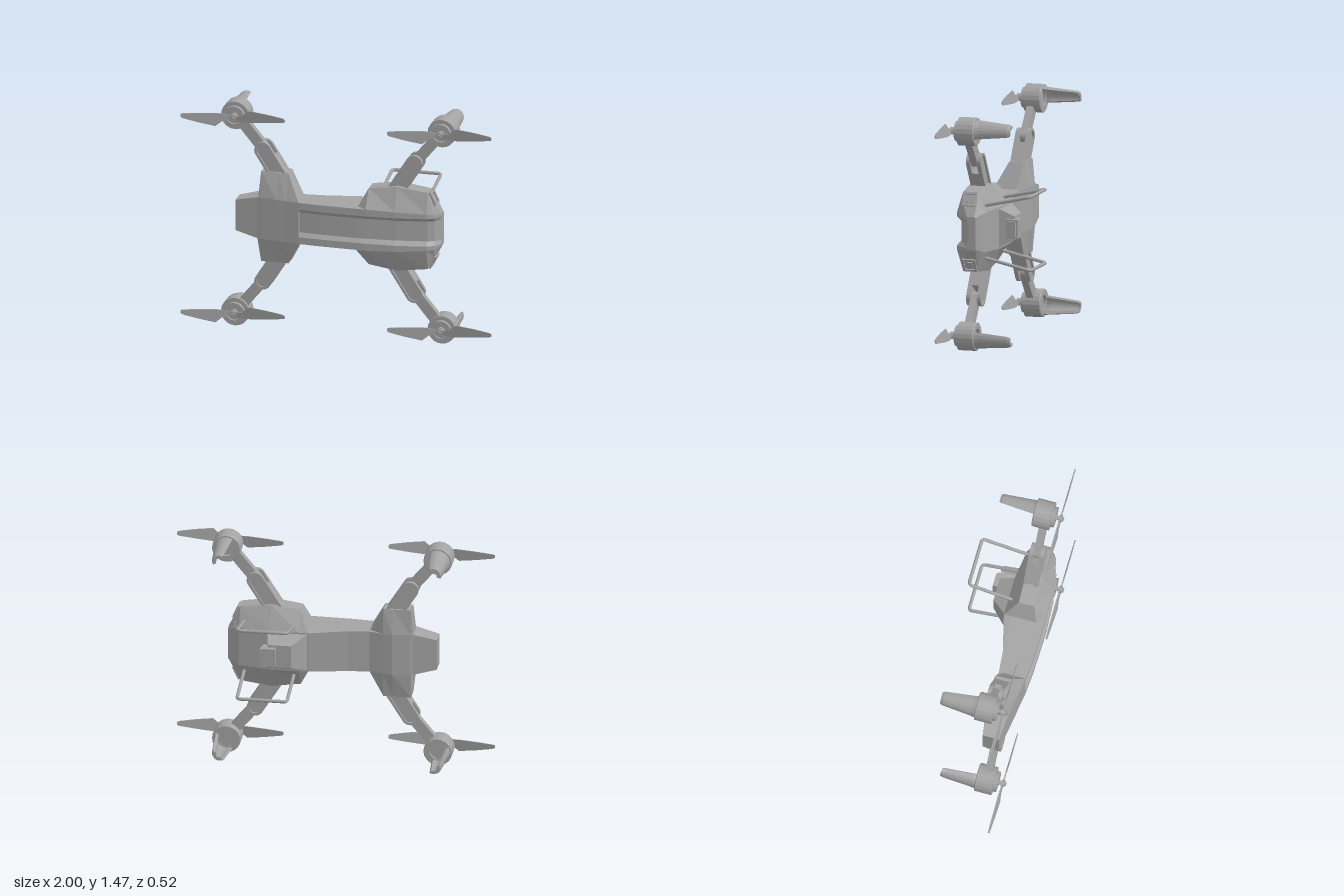
import * as THREE from 'three';

const MID = 0.735; // height of the long axis
const grey = new THREE.MeshStandardMaterial({ color: 0xa3a3a3 });
grey.name = 'grey';

function part(name, geometry, flat = true) {
  let g = geometry;
  if (flat) {
    g = g.index ? g.toNonIndexed() : g;
    g.computeVertexNormals();
  }
  const mesh = new THREE.Mesh(g, grey);
  mesh.name = name;
  return mesh;
}

// Closed skin over rings of [x, y, z]; rings run clockwise seen from the far end
function loft(rings) {
  const pos = [];
  const tri = (...p) => p.forEach((v) => pos.push(...v));
  const centre = (r) => [0, 1, 2].map((k) => r.reduce((s, p) => s + p[k], 0) / r.length);
  const n = rings[0].length;
  const first = rings[0], last = rings[rings.length - 1];
  for (let i = 0; i < n; i++) {
    const j = (i + 1) % n;
    for (let s = 0; s < rings.length - 1; s++) {
      const a = rings[s], b = rings[s + 1];
      tri(a[i], b[i], a[j]);
      tri(b[i], b[j], a[j]);
    }
    tri(centre(first), first[i], first[j]);
    tri(centre(last), last[j], last[i]);
  }
  const g = new THREE.BufferGeometry();
  g.setAttribute('position', new THREE.Float32BufferAttribute(pos, 3));
  return g;
}

const box = (x0, x1, y0, y1, z0, z1) =>
  new THREE.BoxGeometry(x1 - x0, y1 - y0, z1 - z0)
    .translate((x0 + x1) / 2, (y0 + y1) / 2, (z0 + z1) / 2);

// Hull: cross-sections along x with a groove down the front
function hull() {
  // x, half height, side z front/back, front z, front half, back z, back half, groove depth
  const sections = [
    [-0.655, 0.10, 0.17, 0.11, 0.19, 0.10, 0.085, 0.10, 0],
    [-0.51, 0.135, 0.18, 0.09, 0.205, 0.135, 0.065, 0.135, 0],
    [-0.495, 0.295, 0.17, 0.075, 0.208, 0.135, 0.06, 0.135, 0],
    [-0.38, 0.295, 0.17, 0.075, 0.225, 0.135, 0.045, 0.135, 0],
    [-0.32, 0.295, 0.17, 0.075, 0.232, 0.135, 0.055, 0.135, 0],
    [-0.235, 0.135, 0.21, 0.1, 0.245, 0.135, 0.073, 0.135, 0],
    [-0.234, 0.135, 0.21, 0.1, 0.245, 0.135, 0.073, 0.135, 0.022],
    [-0.1, 0.135, 0.22, 0.09, 0.255, 0.135, 0.06, 0.135, 0.022],
    [0.14, 0.135, 0.21, 0.05, 0.26, 0.135, 0, 0.13, 0.022],
    [0.20, 0.25, 0.18, 0.08, 0.26, 0.135, 0, 0.13, 0.025],
    [0.385, 0.275, 0.185, 0.075, 0.25, 0.13, 0, 0.13, 0.03],
    [0.58, 0.25, 0.175, 0.08, 0.215, 0.12, 0.025, 0.125, 0.03],
    [0.62, 0.17, 0.16, 0.075, 0.19, 0.115, 0.045, 0.115, 0.025],
    [0.655, 0.105, 0.125, 0.08, 0.13, 0.1, 0.07, 0.1, 0.015],
  ];
  return loft(sections.map(([x, h, s1, s2, f, hf, b, hb, depth]) => {
    const half = [[f - depth, 0.065], [f, 0.09], [f, hf], [s1, h], [s2, h], [b, hb]];
    const upper = half.map(([z, y]) => [x, MID + y, z]);
    const lower = half.map(([z, y]) => [x, MID - y, z]).reverse();
    return [...upper, ...lower];
  }));
}

// Outline with round ends, from x = 0 to x = length
function capsule(length, r, Type = THREE.Shape) {
  const s = new Type();
  s.absarc(length, 0, r, -Math.PI / 2, Math.PI / 2, false);
  s.absarc(0, 0, r, Math.PI / 2, Math.PI * 1.5, false);
  s.closePath();
  return s;
}

const slab = (shape, z0, z1) =>
  new THREE.ExtrudeGeometry(shape, { depth: z1 - z0, bevelEnabled: false, curveSegments: 10 })
    .translate(0, 0, z0);

// Folding arm: forked inner link and slim outer link
function arm(sx, sy) {
  const group = new THREE.Group();
  group.name = 'arm';
  const link = (name, x0, y0, x1, y1) => {
    const g = new THREE.Group();
    g.name = name;
    g.position.set(sx * x0, MID + sy * y0, 0);
    g.rotation.z = Math.atan2(sy * (y1 - y0), sx * (x1 - x0));
    group.add(g);
    return [g, Math.hypot(x1 - x0, y1 - y0)];
  };
  const [inner, len] = link('innerLink', 0.37, 0.245, 0.487, 0.43);
  const rim = capsule(len, 0.053);
  rim.holes.push(capsule(len, 0.037, THREE.Path));
  inner.add(
    part('forkPlate', slab(capsule(len, 0.053), 0.145, 0.158)),
    part('forkPlate', slab(capsule(len, 0.053), 0.087, 0.1)),
    part('forkRim', slab(rim, 0.158, 0.17)),
    part('forkRim', slab(rim, 0.075, 0.087)),
    part('forkCore', box(0, len - 0.06, -0.052, 0.052, 0.1, 0.145)),
  );
  const [outer, reach] = link('outerLink', 0.487, 0.43, 0.665, 0.645);
  outer.add(part('outerBar', slab(capsule(reach, 0.035), 0.1, 0.145)));
  return group;
}

// Motor pod, centred on its own axis
function motor() {
  const profile = [
    [0, 0.075], [0.05, 0.075], [0.05, 0.055], [0.086, 0.055], [0.09, 0.06], [0.09, 0.167],
    [0.065, 0.167], [0.065, 0.19], [0.05, 0.19], [0.05, 0.176], [0.022, 0.176],
    [0.022, 0.195], [0.013, 0.195], [0.013, 0.24], [0, 0.24],
  ].map(([r, y]) => new THREE.Vector2(r, y));
  return part('motor', new THREE.LatheGeometry(profile, 20).rotateX(Math.PI / 2));
}

// Landing leg: tapered curved shell hanging behind the motor
function leg() {
  const ring = (r, t, shift, z) => {
    const at = (i, rad) => {
      const a = (-75 + 15 * i) * Math.PI / 180;
      return [shift + rad * Math.cos(a), rad * Math.sin(a), z];
    };
    const steps = [...Array(11).keys()];
    return [...steps.map((i) => at(i, r)), ...steps.reverse().map((i) => at(i, r - t))];
  };
  return part('landingLeg', loft([
    ring(0.078, 0.02, 0, 0.06), ring(0.072, 0.02, 0, 0.03),
    ring(0.05, 0.018, 0.01, -0.155), ring(0.042, 0.018, 0.012, -0.172),
  ]));
}

// Two-bladed propeller
function propeller() {
  const group = new THREE.Group();
  group.name = 'propeller';
  const blade = loft([
    [0.01, -0.012, 0.012], [0.065, -0.024, 0.02], [0.11, -0.026, 0.055],
    [0.22, -0.02, 0.038], [0.32, -0.012, 0.018], [0.335, -0.008, 0.01],
  ].map(([x, lo, hi]) => {
    const z = (y) => 0.22 + 0.15 * y, t = 0.003;
    return [[x, lo, z(lo) + t], [x, hi, z(hi) + t], [x, hi, z(hi) - t], [x, lo, z(lo) - t]];
  }));
  for (const turn of [0, Math.PI]) {
    const b = part('blade', blade);
    b.rotation.z = turn;
    group.add(b);
  }
  group.add(part('hub', new THREE.CylinderGeometry(0.024, 0.024, 0.02, 12)
    .rotateX(Math.PI / 2).translate(0, 0, 0.22)));
  group.rotation.z = 0.03;
  return group;
}

// Landing skid: bent rod with rounded corners
function skid(sy) {
  const p = (x, t) => new THREE.Vector3(x, MID + sy * (0.165 + 0.067 * t), 0.045 - 0.298 * t);
  const path = new THREE.CurvePath();
  path.add(new THREE.LineCurve3(p(0.235, -0.1), p(0.235, 0.92)));
  path.add(new THREE.QuadraticBezierCurve3(p(0.235, 0.92), p(0.235, 1), p(0.26, 1)));
  path.add(new THREE.LineCurve3(p(0.26, 1), p(0.525, 1)));
  path.add(new THREE.QuadraticBezierCurve3(p(0.525, 1), p(0.55, 1), p(0.55, 0.92)));
  path.add(new THREE.LineCurve3(p(0.55, 0.92), p(0.55, -0.1)));
  return part('skid', new THREE.TubeGeometry(path, 80, 0.011, 8), false);
}

// Square sensor on the slanted nose cheek
function sensor(sy) {
  const group = new THREE.Group();
  group.name = 'sensor';
  const square = (r, Type) => new Type([[-r, -r], [r, -r], [r, r], [-r, r]]
    .map(([x, y]) => new THREE.Vector2(x, y)));
  const frame = square(0.044, THREE.Shape);
  frame.holes.push(square(0.032, THREE.Path));
  group.add(
    part('sensorFrame', slab(frame, -0.02, 0.012).rotateY(Math.PI / 2)),
    part('sensorLens', box(-0.01, 0.008, -0.02, 0.02, -0.02, 0.02)),
  );
  group.position.set(0.602, MID + sy * 0.205, 0.125);
  group.rotation.z = sy * 0.46;
  return group;
}

export function createModel() {
  const model = new THREE.Group();
  model.name = 'drone';
  model.add(part('hull', hull()));

  // Camera mount and camera on the back
  const mountRing = (x0, x1, h, z) =>
    [[x0, MID - h, z], [x1, MID - h, z], [x1, MID + h, z], [x0, MID + h, z]];
  model.add(
    part('cameraMount', loft([mountRing(0.14, 0.40, 0.125, 0.01), mountRing(0.235, 0.38, 0.075, -0.093)])),
    part('camera', box(0.33, 0.415, MID - 0.06, MID + 0.06, -0.125, -0.05)),
    part('cameraLens', box(0.415, 0.428, MID - 0.048, MID + 0.048, -0.115, -0.06)),
  );

  for (const sy of [1, -1]) {
    model.add(skid(sy), sensor(sy));
    for (const sx of [1, -1]) {
      const pod = new THREE.Group();
      pod.name = 'motorPod';
      pod.position.set(sx * 0.665, MID + sy * 0.645, 0);
      const foot = leg();
      foot.rotation.z = Math.atan2(sy, sx);
      pod.add(motor(), foot, propeller());
      model.add(arm(sx, sy), pod);
    }
  }
  return model;
}
